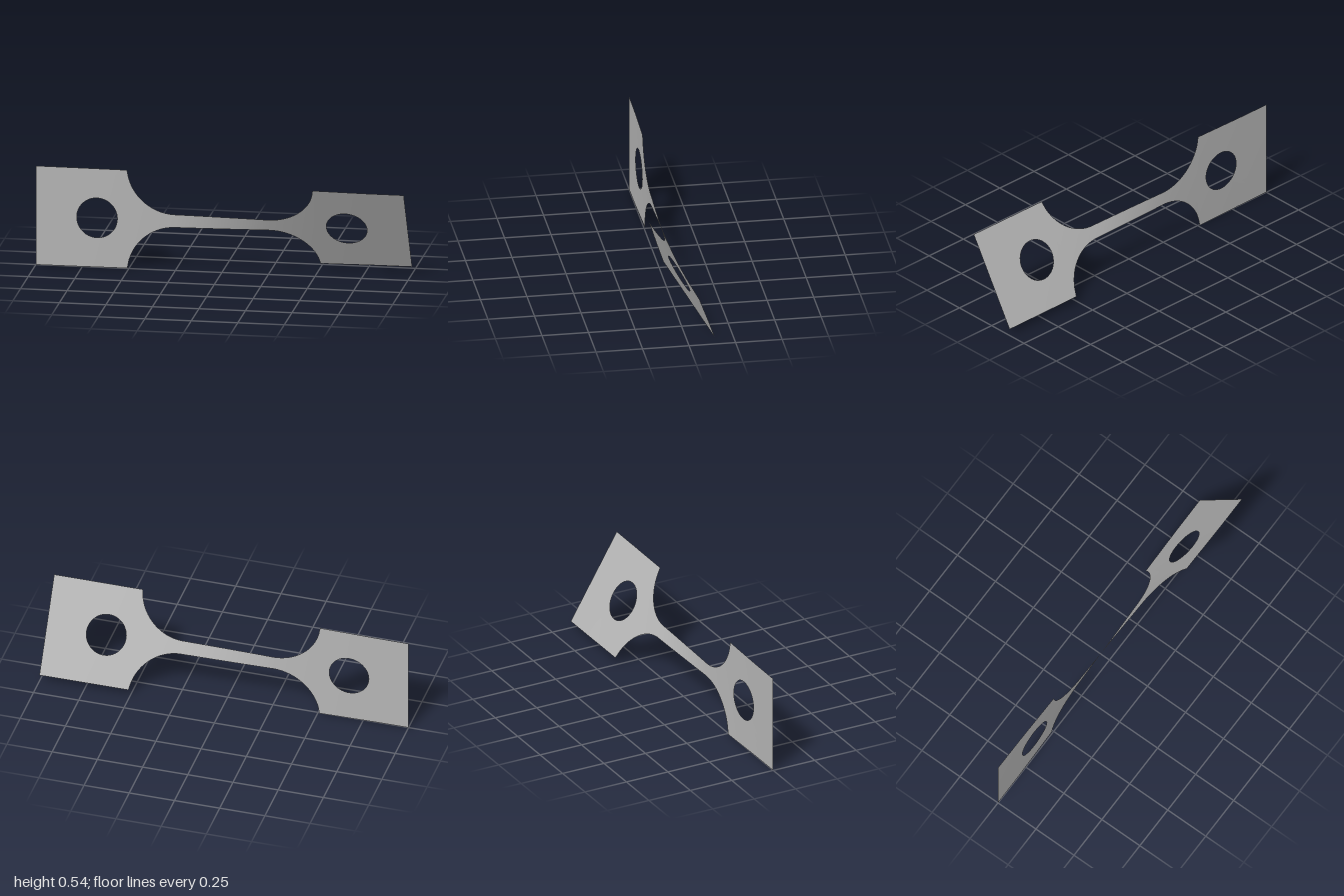
import * as THREE from 'three';

const MID_Y = 0.271;        // height of the twist axis
const HALF = 0.271;         // half width of the end pads
const NECK = 0.036;         // half width of the neck
const FILLET = 0.26;        // radius between neck and pad
const NECK_END = 0.25;
const PAD_X = 0.509;        // where each pad begins
const HOLE_X = 0.671, HOLE_R = 0.109;

// Twist in degrees along x: nearly all of it happens in the neck
const TWIST = [[-1, 0], [-0.8, 0.2], [-0.5, 1.4], [-0.35, 2.6], [-0.25, 4.2],
  [0.25, 26.6], [0.35, 28.2], [0.5, 29.8], [0.8, 30.7], [1, 30.8]];

function twistAt(x) {
  let i = 0;
  while (i < TWIST.length - 2 && x > TWIST[i + 1][0]) i++;
  const [x0, a0] = TWIST[i], [x1, a1] = TWIST[i + 1];
  return THREE.MathUtils.degToRad(a0 + (a1 - a0) * (x - x0) / (x1 - x0));
}

// Half width of the strip between the pads
function halfWidth(x) {
  const d = Math.max(0, Math.abs(x) - NECK_END);
  return NECK + FILLET - Math.sqrt(FILLET * FILLET - d * d);
}

// Lay a unit grid out as a flat sheet with rule(u, v) -> [x, width], then twist it
function twistedSheet(name, columns, rows, material, rule) {
  const geometry = new THREE.PlaneGeometry(1, 1, columns, rows);
  const p = geometry.attributes.position;
  for (let i = 0; i < p.count; i++) {
    const [x, w] = rule(p.getX(i) + 0.5, p.getY(i) + 0.5);
    const a = twistAt(x);
    p.setXYZ(i, x, MID_Y + w * Math.cos(a), w * Math.sin(a));
  }
  geometry.computeVertexNormals();
  const mesh = new THREE.Mesh(geometry, material);
  mesh.name = name;
  return mesh;
}

// Square pad with a round hole: rings blend from its outline to the hole
function pad(name, side, material) {
  const x0 = side > 0 ? PAD_X : -1, x1 = side > 0 ? 1 : -PAD_X;
  const corners = [[x0, -HALF], [x1, -HALF], [x1, HALF], [x0, HALF], [x0, -HALF]];
  return twistedSheet(name, 96, 5, material, (u, v) => {
    const k = Math.min(3, Math.floor(u * 4 + 1e-6)), f = u * 4 - k;
    const ox = THREE.MathUtils.lerp(corners[k][0], corners[k + 1][0], f);
    const oy = THREE.MathUtils.lerp(corners[k][1], corners[k + 1][1], f);
    const cx = side * HOLE_X;
    const t = Math.atan2(oy, ox - cx);
    return [
      THREE.MathUtils.lerp(ox, cx + HOLE_R * Math.cos(t), v),
      THREE.MathUtils.lerp(oy, HOLE_R * Math.sin(t), v),
    ];
  });
}

export function createModel() {
  const steel = new THREE.MeshStandardMaterial({ color: 0xb4b4b4, side: THREE.DoubleSide });
  steel.name = 'grey steel';

  const model = new THREE.Group();
  model.name = 'twistedTestStrip';
  // Neck with its flared ends
  model.add(twistedSheet('neck', 120, 6, steel, (u, v) => {
    const x = (u * 2 - 1) * PAD_X;
    return [x, (v * 2 - 1) * (Math.abs(x) > PAD_X - 1e-4 ? HALF : halfWidth(x))];
  }));
  // End pads
  model.add(pad('leftPad', 1, steel), pad('rightPad', -1, steel));
  return model;
}
